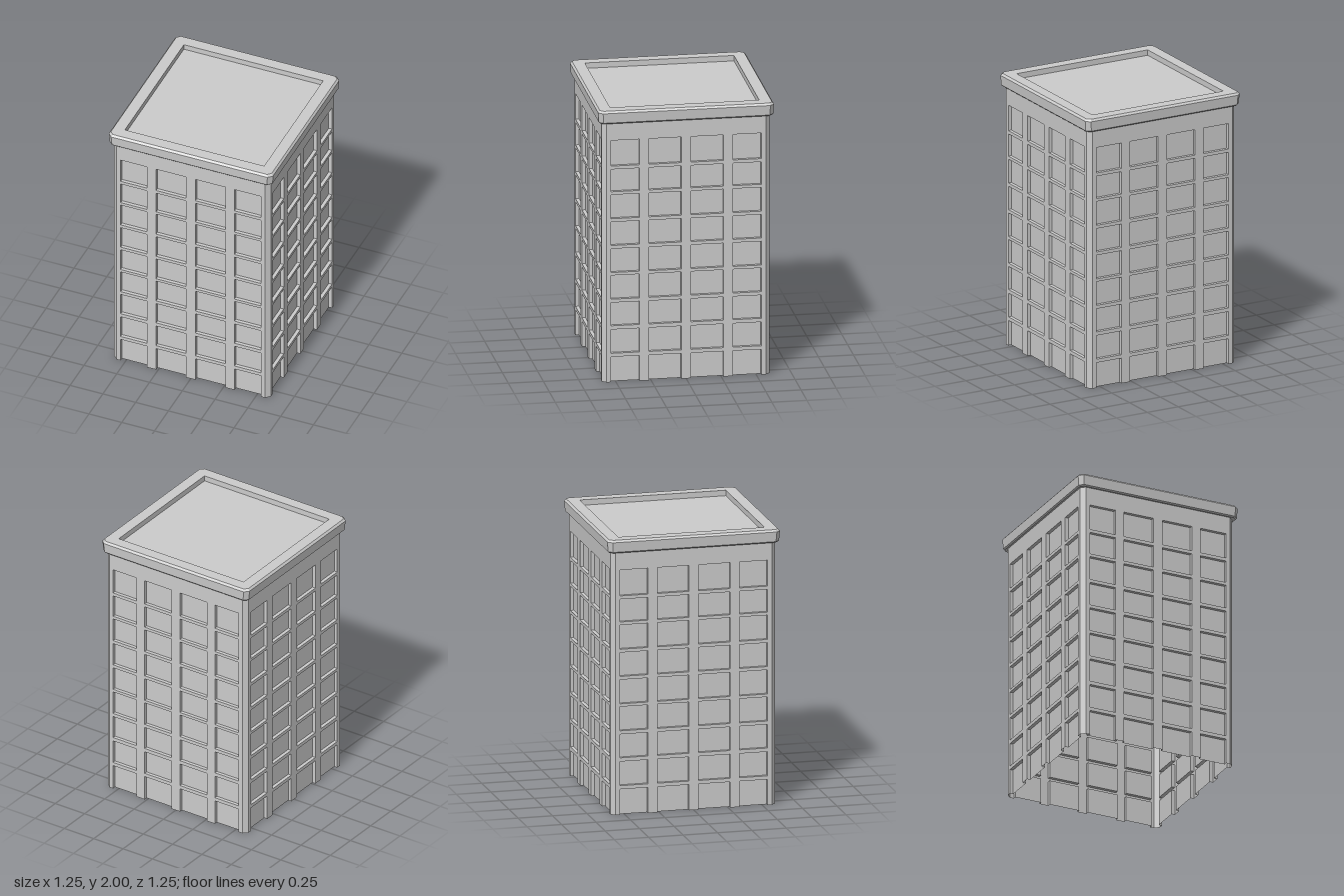
import * as THREE from 'three';
import { mergeGeometries } from 'three/addons/utils/BufferGeometryUtils.js';

const HALF = 0.597, CUT = 0.03, DEPTH = 0.025, WALL_TOP = 1.908;
const columns = [[-0.535, -0.333], [-0.265, -0.035], [0.035, 0.265], [0.333, 0.535]];
const rows = [[0, 0.186], [0.212, 0.387], [0.414, 0.585], [0.61, 0.785], [0.806, 0.981],
  [1.005, 1.178], [1.202, 1.378], [1.4, 1.565], [1.589, 1.777]];

// Flat wall with window openings; the ground row is open at the bottom
function wallGeometry() {
  const edge = HALF - CUT;
  const shape = new THREE.Shape().moveTo(-edge, 0);
  for (const [a, b] of columns) {
    shape.lineTo(a, 0).lineTo(a, rows[0][1]).lineTo(b, rows[0][1]).lineTo(b, 0);
  }
  shape.lineTo(edge, 0).lineTo(edge, WALL_TOP).lineTo(-edge, WALL_TOP).closePath();
  for (const [y0, y1] of rows.slice(1)) {
    for (const [a, b] of columns) {
      shape.holes.push(new THREE.Path().moveTo(a, y0).lineTo(a, y1).lineTo(b, y1).lineTo(b, y0).closePath());
    }
  }
  return new THREE.ShapeGeometry(shape).translate(0, 0, HALF);
}

// Inward-facing box without its front, and without a sill at ground level
function recessGeometry([a, b], [y0, y1]) {
  const g = new THREE.BoxGeometry(b - a, y1 - y0, DEPTH);
  const index = Array.from(g.index.array);
  const kept = [0, 1, 2, 3, 5].filter((side) => side !== 3 || y0 > 0);
  g.setIndex(kept.flatMap((side) => index.slice(side * 6, side * 6 + 6)).reverse());
  g.clearGroups();
  g.computeVertexNormals();
  return g.translate((a + b) / 2, (y0 + y1) / 2, HALF - DEPTH / 2);
}

// Square ring with cut corners, counter-clockwise seen from above
function ring(h, c, y) {
  const e = h - c;
  return [[h, e], [h, -e], [e, -h], [-e, -h], [-h, -e], [-h, e], [-e, h], [e, h]].map(([x, z]) => [x, y, z]);
}

// Skin stacked rings and close the last one
function loftGeometry(rings) {
  const pos = [];
  const n = 8;
  for (let r = 0; r < rings.length - 1; r++) {
    for (let i = 0; i < n; i++) {
      const j = (i + 1) % n;
      const [a, b, c, d] = [rings[r][i], rings[r][j], rings[r + 1][j], rings[r + 1][i]];
      pos.push(...a, ...b, ...c, ...a, ...c, ...d);
    }
  }
  const last = rings[rings.length - 1];
  for (let i = 1; i < n - 1; i++) pos.push(...last[0], ...last[i], ...last[i + 1]);
  const g = new THREE.BufferGeometry();
  g.setAttribute('position', new THREE.Float32BufferAttribute(pos, 3));
  g.computeVertexNormals();
  return g;
}

export function createModel() {
  const model = new THREE.Group();
  model.name = 'towerBlock';
  const material = new THREE.MeshStandardMaterial({ color: 0xcccccc, flatShading: true, side: THREE.DoubleSide });
  const add = (parent, name, geometry) => {
    const mesh = new THREE.Mesh(geometry, material);
    mesh.name = name;
    parent.add(mesh);
    return mesh;
  };

  const wall = wallGeometry();
  const windows = mergeGeometries(rows.flatMap((row) => columns.map((col) => recessGeometry(col, row))));
  const corner = new THREE.PlaneGeometry(CUT * Math.SQRT2, WALL_TOP);

  // Four identical sides, each with one chamfered corner
  ['front', 'left', 'back', 'right'].forEach((name, i) => {
    const side = new THREE.Group();
    side.name = name + 'Side';
    side.rotation.y = i * Math.PI / 2;
    add(side, name + 'Wall', wall);
    add(side, name + 'Windows', windows);
    const strip = add(side, name + 'Corner', corner);
    strip.position.set(HALF - CUT / 2, WALL_TOP / 2, HALF - CUT / 2);
    strip.rotation.y = Math.PI / 4;
    model.add(side);
  });

  // Overhanging cornice with bevelled edges and a sunken flat roof
  add(model, 'roofCap', loftGeometry([
    ring(HALF, CUT, WALL_TOP),
    ring(0.612, 0.025, 1.905),
    ring(0.621, 0.03, 1.914),
    ring(0.626, 0.03, 1.985),
    ring(0.613, 0.025, 2),
    ring(0.531, 0, 2),
    ring(0.531, 0, 1.96),
  ]));
  return model;
}
